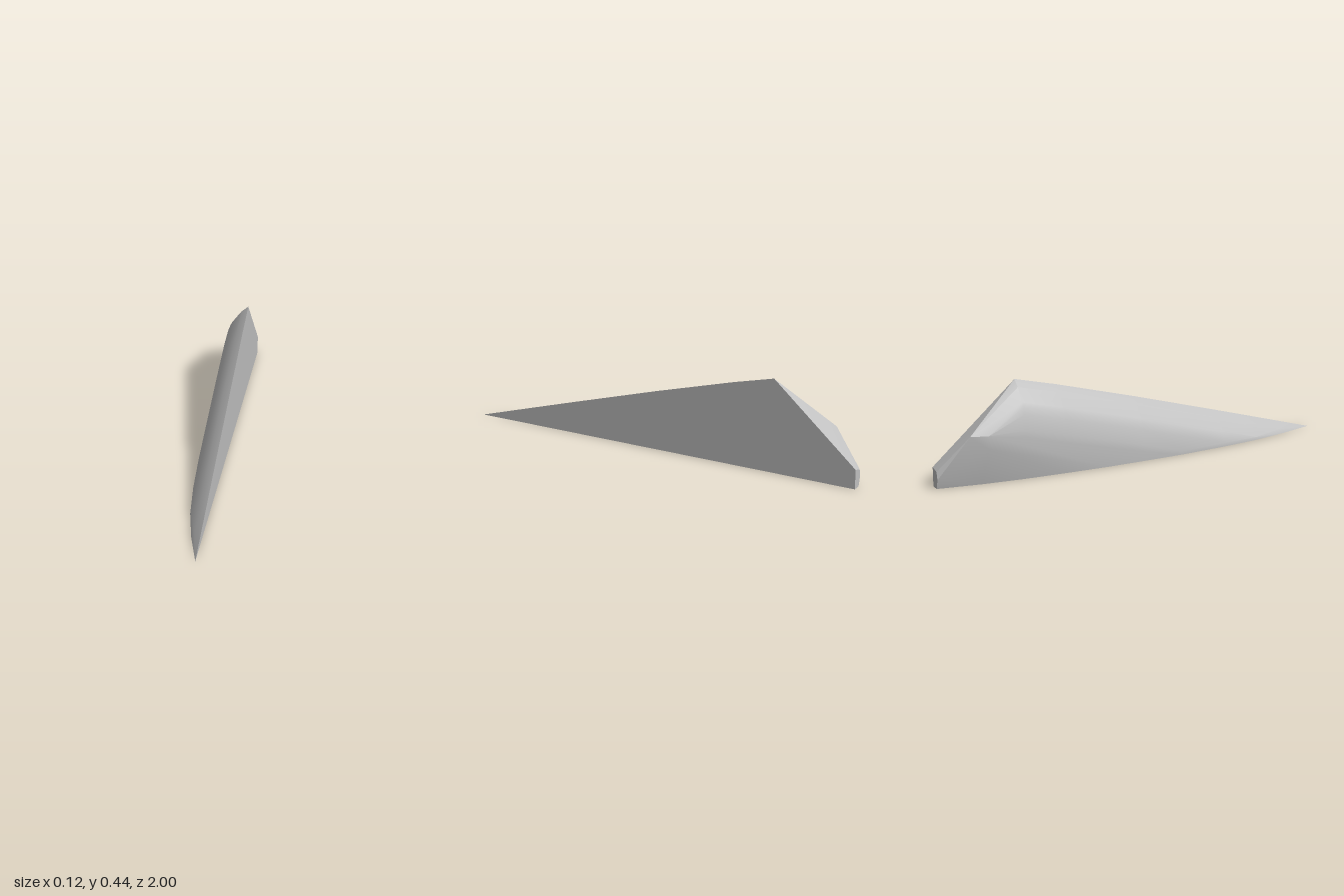
import * as THREE from 'three';
import { ConvexGeometry } from 'three/addons/geometries/ConvexGeometry.js';
import { toCreasedNormals } from 'three/addons/utils/BufferGeometryUtils.js';

const FLAT_X = 0.06; // the flat side lies in this plane

// piecewise linear lookup in a list of [input, output]
function lookup(table, v) {
  for (let i = 1; i < table.length; i++) {
    const [a, p] = table[i - 1], [b, q] = table[i];
    if (v <= b) return p + (q - p) * Math.max(0, (v - a) / (b - a));
  }
  return table[table.length - 1][1];
}

// height of the top edge along z
const ridge = [[-0.6, 0.44], [-0.4, 0.392], [0, 0.285], [0.5, 0.144], [1, 0]];
// outward x against depth below the top edge
const bulge = [[0, 0.06], [0.03, 0.025], [0.065, 0], [0.09, -0.02], [0.11, -0.03],
  [0.14, -0.041], [0.21, -0.058], [0.24, -0.06], [0.44, -0.056]];

export function createModel() {
  const group = new THREE.Group();
  const grey = new THREE.MeshStandardMaterial({ color: 0xbfbfbf });
  grey.name = 'grey';
  const points = [];
  const add = (x, y, z) => points.push(new THREE.Vector3(x, y, z));

  // long tapering body: one profile swept down the sloping top edge
  for (const z of [-0.6, -0.4, -0.2, 0, 0.2, 0.45, 0.64, 0.82, 1]) {
    const h = lookup(ridge, z);
    for (const [d, x] of bulge) {
      if (d < h && (z > -0.5 || h - d > 0.19)) add(x, h - d, z);
    }
    if (z > -0.3) add(lookup(bulge, h * 0.92), 0, z);
    add(FLAT_X, 0, z);
  }

  // shoulder where the rear slope meets the curved side
  add(-0.043, 0.234, -0.86);
  add(-0.06, 0.23, -0.78);
  add(-0.058, 0.17, -0.78);

  // rear lower edge, curving in towards the end
  for (const [x, z] of [[-0.015, -0.8], [-0.037, -0.6], [-0.05, -0.4]]) add(x, 0, z);

  // small flat rear end
  for (const [x, y] of [[FLAT_X, 0], [FLAT_X, 0.09], [0.015, 0.079], [0.006, 0.044], [0.019, 0]]) {
    add(x, y, -1);
  }

  const body = new THREE.Mesh(toCreasedNormals(new ConvexGeometry(points), 0.35), grey);
  body.name = 'wedgeBody';
  group.add(body);
  return group;
}
